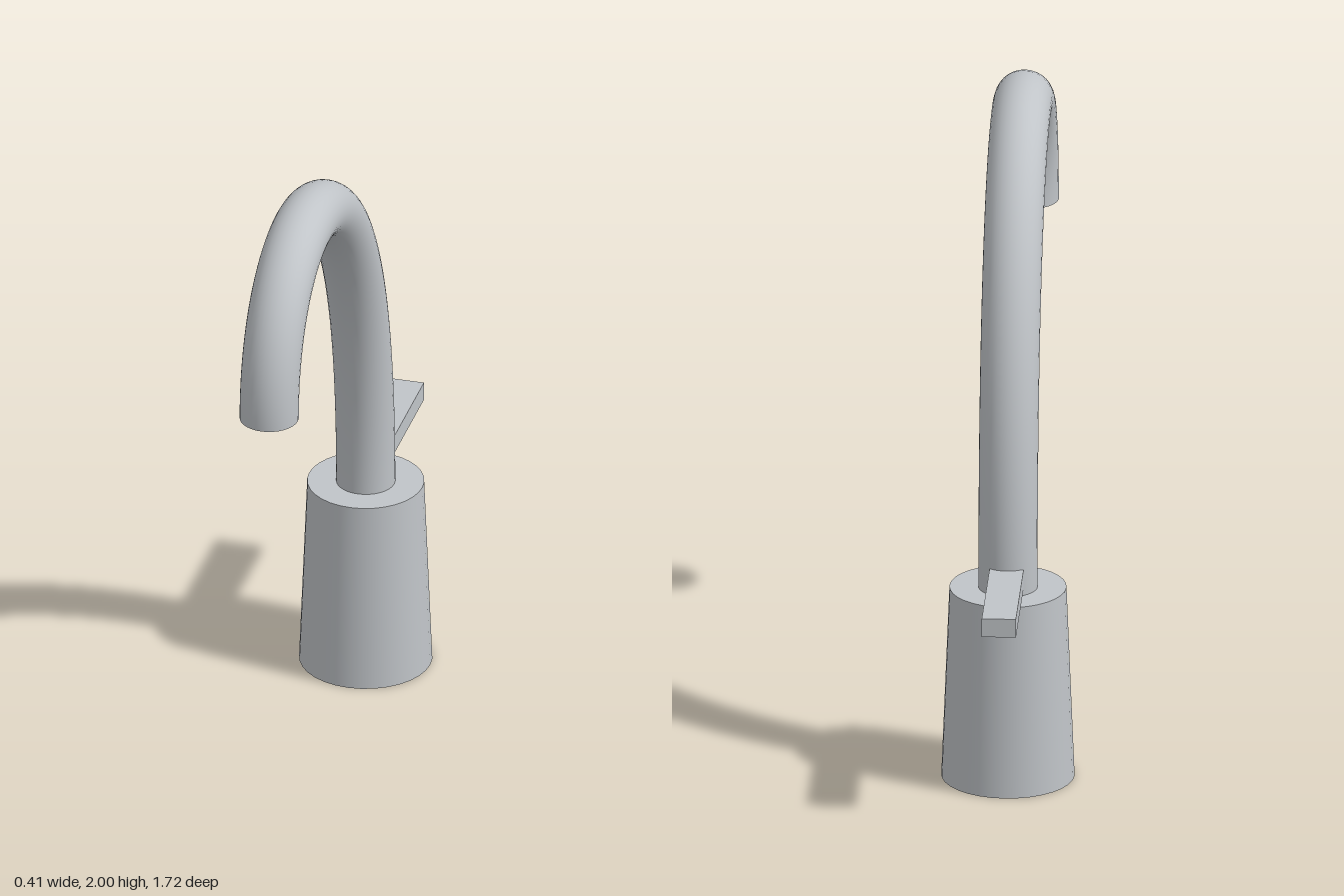
import * as THREE from 'three';

export function createModel() {
  const group = new THREE.Group();
  const steel = new THREE.MeshStandardMaterial({ color: 0xc0c4c8, side: THREE.DoubleSide });
  steel.name = 'brushed steel';

  const add = (name, geometry, x, y, z) => {
    const mesh = new THREE.Mesh(geometry, steel);
    mesh.name = name;
    mesh.position.set(x, y, z);
    group.add(mesh);
  };

  const baseHeight = 0.62;
  const baseZ = -0.368;

  // Tapered base
  add('base', new THREE.CylinderGeometry(0.18, 0.205, baseHeight, 32), 0, baseHeight / 2, baseZ);

  // Open-ended gooseneck spout, rising from the base and curving forward
  const path = new THREE.CubicBezierCurve3(
    new THREE.Vector3(0, baseHeight, baseZ),
    new THREE.Vector3(0, 2.14, baseZ),
    new THREE.Vector3(0, 2.17, 0.77),
    new THREE.Vector3(0, 1.453, 0.77)
  );
  add('spout', new THREE.TubeGeometry(path, 64, 0.091, 32, false), 0, 0, 0);

  // Flat lever handle pointing backward
  add('handle', new THREE.BoxGeometry(0.105, 0.06, 0.416), 0, 0.675, -0.652);

  return group;
}
